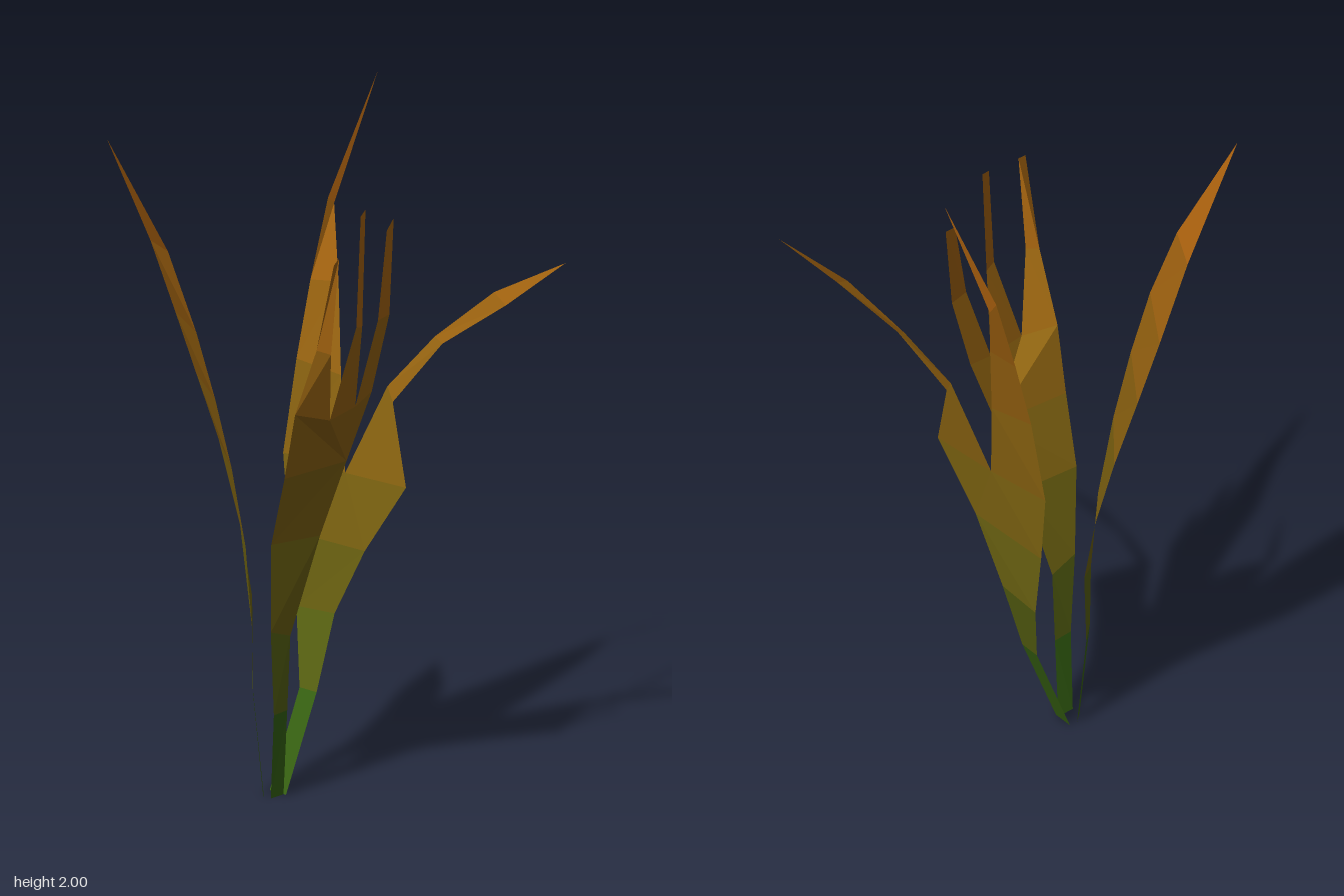
import * as THREE from 'three';

const ROOT = new THREE.Color(0x0f6212);
const TIP = new THREE.Color(0xb5640f);

// One flat facet group: a fan over the corner list, tinted by its mean height
function panel(name, corners) {
  const pos = [];
  for (let i = 1; i < corners.length - 1; i++) {
    pos.push(...corners[0], ...corners[i], ...corners[i + 1]);
  }
  const geometry = new THREE.BufferGeometry();
  geometry.setAttribute('position', new THREE.Float32BufferAttribute(pos, 3));
  geometry.computeVertexNormals();
  const height = corners.reduce((sum, c) => sum + c[1], 0) / corners.length;
  const color = ROOT.clone().lerp(TIP, Math.min(1, height / 1.9));
  const mesh = new THREE.Mesh(geometry, new THREE.MeshStandardMaterial({
    color, side: THREE.DoubleSide, flatShading: true }));
  mesh.name = name;
  return mesh;
}

// A ribbon between two edges running from root to tip; equal last points make a point
function ribbon(name, edgeA, edgeB) {
  const group = new THREE.Group();
  group.name = name;
  for (let i = 0; i < edgeA.length - 1; i++) {
    group.add(panel(name + 'Segment' + (i + 1), [edgeA[i], edgeB[i], edgeB[i + 1], edgeA[i + 1]]));
  }
  return group;
}

function leaf(name, ...parts) {
  const group = new THREE.Group();
  group.name = name;
  group.add(...parts);
  return group;
}

// Broad single-pointed leaf at the back
function backLeaf() {
  const tip = [-0.488, 1.95, -0.424];
  return leaf('backLeaf', ribbon('backBlade',
    [[-0.14, 0, -0.15], [-0.165, 0.3, -0.165], [-0.165, 0.5, -0.17], [-0.19, 0.74, -0.17],
      [-0.24, 0.98, -0.175], [-0.29, 1.19, -0.19], [-0.335, 1.39, -0.22], [-0.373, 1.62, -0.295], tip],
    [[-0.105, 0, -0.185], [-0.105, 0.3, -0.228], [-0.07, 0.55, -0.265], [-0.07, 0.76, -0.315],
      [-0.09, 0.99, -0.378], [-0.15, 1.19, -0.407], [-0.212, 1.38, -0.428], [-0.31, 1.61, -0.428], tip]));
}

// Front leaf, divided into three blunt prongs
function frontLeaf() {
  const left = [-0.205, 0.98, 0], right = [0.04, 0.98, 0];
  const leftTop = [-0.213, 1.18, 0.05], rightTop = [0.1, 1.18, 0.04];
  const notchA = [-0.122, 1.155, 0.097], notchB = [0.01, 1.16, 0.065];
  return leaf('frontLeaf',
    ribbon('frontBlade',
      [[-0.135, 0, -0.125], [-0.143, 0.25, -0.105], [-0.165, 0.5, -0.095], [-0.193, 0.77, -0.065], left],
      [[-0.08, 0, -0.13], [-0.08, 0.25, -0.115], [-0.078, 0.47, -0.105], [-0.01, 0.76, -0.055], right]),
    panel('frontFork', [right, rightTop, notchB, notchA, leftTop, left]),
    ribbon('rightProng', [leftTop, [-0.217, 1.39, 0.14], [-0.228, 1.66, 0.22]],
      [notchA, [-0.195, 1.38, 0.175], [-0.194, 1.67, 0.207]]),
    ribbon('middleProng', [notchA, [-0.05, 1.42, 0.13], [-0.03, 1.74, 0.127]],
      [notchB, [-0.015, 1.41, 0.118], [0.004, 1.75, 0.112]]),
    ribbon('leftProng', [notchB, [0.085, 1.4, 0.08], [0.135, 1.65, 0.065]],
      [rightTop, [0.15, 1.4, 0.06], [0.187, 1.67, 0.04]]));
}

// Side leaf, forked into two long pointed prongs
function sideLeaf() {
  const backLow = [0.1, 0.7, -0.29], frontLow = [0.112, 0.7, 0];
  const backTop = [0.11, 0.92, -0.323], frontTop = [0.15, 0.905, 0.126];
  const notch = [0.13, 0.905, -0.096];
  const tipA = [0.4, 2, -0.236], tipB = [0.485, 1.557, 0.424];
  return leaf('sideLeaf',
    ribbon('sideBlade',
      [[-0.08, 0, -0.185], [0.03, 0.28, -0.177], [0.09, 0.49, -0.25], backLow],
      [[-0.08, 0, -0.12], [0.03, 0.28, -0.109], [0.092, 0.5, -0.1], frontLow]),
    panel('sideFork', [notch, backTop, backLow, frontLow, frontTop]),
    ribbon('backProng',
      [backTop, [0.15, 1.19, -0.31], [0.205, 1.41, -0.31], [0.265, 1.64, -0.3], tipA],
      [notch, [0.172, 1.17, -0.155], [0.225, 1.42, -0.218], [0.285, 1.62, -0.236 - 0.06], tipA]),
    ribbon('frontProng',
      [notch, [0.19, 1.17, 0.012], [0.275, 1.32, 0.115], [0.37, 1.46, 0.255], tipB],
      [frontTop, [0.185, 1.13, 0.038], [0.275, 1.305, 0.145], [0.372, 1.43, 0.3], tipB]));
}

export function createModel() {
  const plant = new THREE.Group();
  plant.name = 'plant';
  plant.add(backLeaf(), frontLeaf(), sideLeaf());
  return plant;
}
